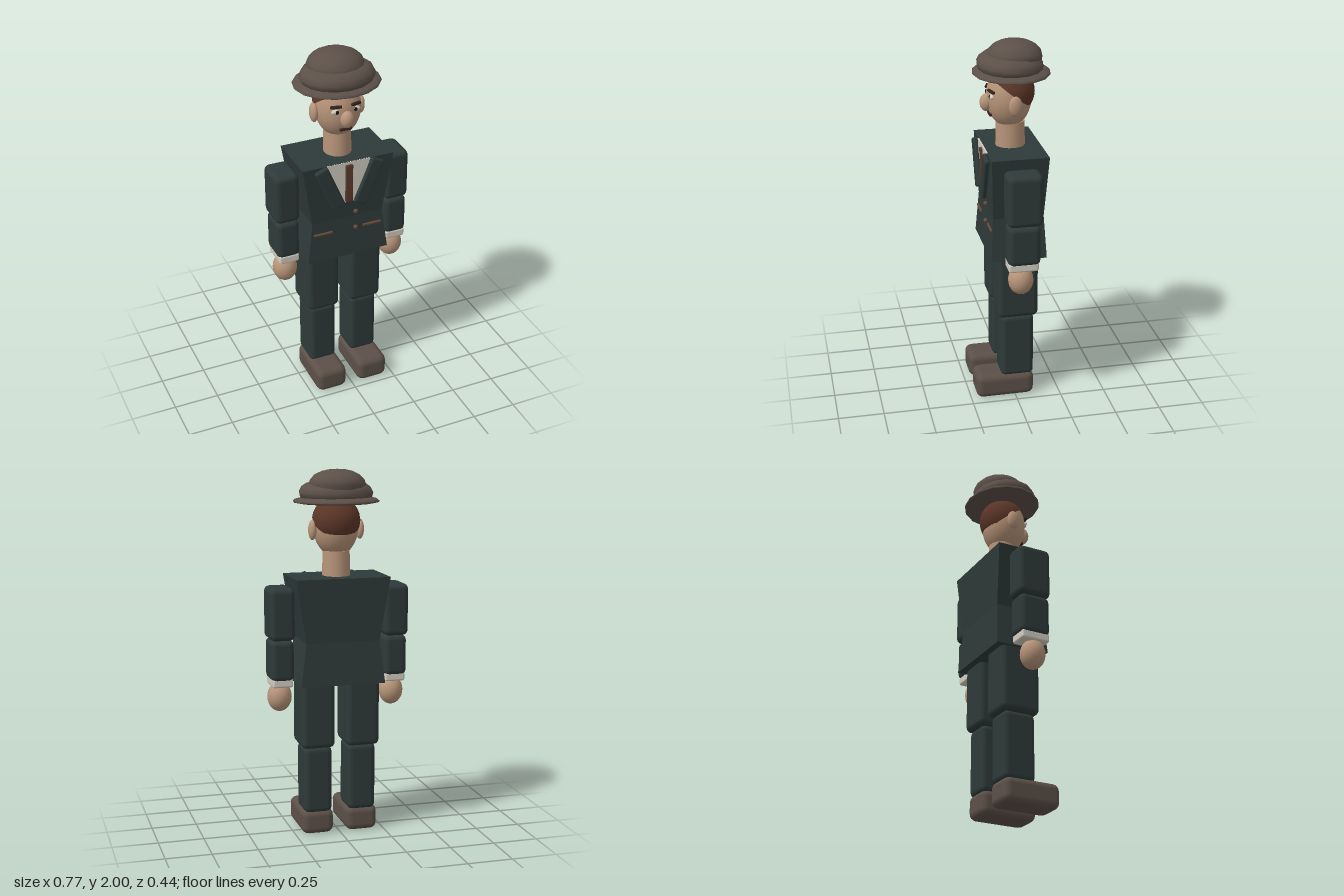
import * as THREE from 'three';
import { RoundedBoxGeometry } from 'three/addons/geometries/RoundedBoxGeometry.js';

const material = (name, color) => {
  const m = new THREE.MeshStandardMaterial({ color });
  m.name = name;
  return m;
};

export function createModel() {
  const suit = material('dark green suit', 0x2e3a39);
  const felt = material('brown felt and leather', 0x5c5048);
  const skin = material('skin', 0xb8957a);
  const hairBrown = material('hair brown', 0x5c3627);
  const linen = material('off white linen', 0xd2cdc0);
  const tieBrown = material('tie brown', 0x5a3a2e);
  const trim = material('pocket trim', 0x6b4a3a);
  const browBrown = material('dark brown', 0x35221b);
  const black = material('pupil black', 0x161616);

  const model = new THREE.Group();
  model.name = 'figure';

  const add = (name, geometry, mat, x, y, z) => {
    const mesh = new THREE.Mesh(geometry, mat);
    mesh.name = name;
    mesh.position.set(x, y, z);
    model.add(mesh);
    return mesh;
  };
  // Bevelled block given by its size and centre
  const block = (name, mat, w, h, d, x, y, z, r = 0.03) =>
    add(name, new RoundedBoxGeometry(w, h, d, 2, r), mat, x, y, z);
  const ellipsoid = (name, mat, rx, ry, rz, x, y, z, n = 20) => {
    const g = new THREE.SphereGeometry(1, n, Math.round(n * 0.7));
    g.scale(rx, ry, rz);
    return add(name, g, mat, x, y, z);
  };

  // Jacket body: a box pinched at the waist
  const torso = new THREE.BoxGeometry(2, 2, 2, 1, 2, 1);
  const rows = {
    1: [0.26, 1.43, 0.14, -0.167],
    0: [0.204, 1.085, 0.125, -0.15],
    '-1': [0.234, 0.85, 0.14, -0.163],
  };
  const p = torso.attributes.position;
  for (let i = 0; i < p.count; i++) {
    const [hw, y, front, back] = rows[Math.round(p.getY(i))];
    p.setXYZ(i, p.getX(i) * hw, y, p.getZ(i) > 0 ? front : back);
  }
  const jacket = torso.toNonIndexed();
  jacket.computeVertexNormals();
  add('jacket', jacket, suit, 0, 0, 0);

  // Shirt front, tie and buttons
  const vShape = new THREE.Shape();
  vShape.moveTo(-0.125, 1.43);
  vShape.lineTo(-0.035, 1.19);
  vShape.lineTo(0.035, 1.19);
  vShape.lineTo(0.125, 1.43);
  add('shirtFront', new THREE.ExtrudeGeometry(vShape, { depth: 0.008, bevelEnabled: false }), linen, 0, 0, 0.135);
  block('tie', tieBrown, 0.042, 0.222, 0.016, 0, 1.306, 0.147, 0.005);
  for (const y of [1.115, 1.015]) ellipsoid('button', trim, 0.013, 0.013, 0.012, 0.045, y, 0.135, 12);

  for (const s of [-1, 1]) {
    // Lapels and pockets
    const lapel = block('lapel', suit, 0.078, 0.27, 0.028, s * 0.112, 1.298, 0.152, 0.012);
    lapel.rotation.z = -s * 0.4;
    block('pocketTrim', trim, 0.108, 0.014, 0.016, s * 0.143, 1.014, 0.13, 0.004);

    // Arms
    block('upperArm', suit, 0.137, 0.285, 0.19, s * 0.318, 1.237, -0.015);
    block('forearm', suit, 0.127, 0.225, 0.175, s * 0.317, 0.984, -0.012);
    block('cuff', linen, 0.113, 0.05, 0.162, s * 0.316, 0.863, -0.008, 0.012);
    ellipsoid('hand', skin, 0.067, 0.082, 0.068, s * 0.318, 0.775, -0.001);

    // Legs and shoes
    block('thigh', suit, 0.186, 0.39, 0.225, s * 0.126, 0.688, -0.012);
    block('calf', suit, 0.157, 0.375, 0.185, s * 0.124, 0.31, -0.012);
    block('shoe', felt, 0.178, 0.138, 0.325, s * 0.125, 0.069, 0.0575, 0.038);
  }

  // Neck and head
  const neck = add('neck', new THREE.CylinderGeometry(0.073, 0.076, 0.16, 20), skin, 0, 1.485, -0.01);
  neck.scale.z = 1.06;
  ellipsoid('head', skin, 0.124, 0.167, 0.121, 0, 1.697, -0.003, 28);
  ellipsoid('nose', skin, 0.037, 0.048, 0.036, 0, 1.67, 0.118);
  const cap = new THREE.SphereGeometry(0.13, 28, 12, 0, Math.PI * 2, 0, Math.PI / 2);
  const hair = add('hair', cap, hairBrown, 0, 1.725, -0.01);
  hair.rotation.x = -0.66;
  hair.material.side = THREE.DoubleSide;

  // Face
  block('mouth', browBrown, 0.07, 0.016, 0.016, 0, 1.606, 0.1, 0.006);
  for (const s of [-1, 1]) {
    ellipsoid('ear', skin, 0.022, 0.055, 0.036, s * 0.132, 1.677, -0.012, 16);
    ellipsoid('eye', linen, 0.026, 0.014, 0.012, s * 0.056, 1.714, 0.1, 14);
    ellipsoid('pupil', black, 0.01, 0.011, 0.006, s * 0.052, 1.714, 0.109, 10);
    const brow = block('eyebrow', browBrown, 0.062, 0.015, 0.018, s * 0.056, 1.743, 0.103, 0.006);
    brow.rotation.set(0, s * 0.3, -s * 0.06);
  }

  // Hat: flat brim, swollen lower crown and a dome set slightly back
  const lathe = (name, points, x, y, z, depth) => {
    const g = new THREE.LatheGeometry(points.map(([r, h]) => new THREE.Vector2(r, h)), 16);
    const mesh = add(name, g, felt, x, y, z);
    mesh.scale.z = depth;
    return mesh;
  };
  lathe('hatBrim', [[0, -0.012], [0.2, -0.012], [0.232, -0.006], [0.237, 0], [0.226, 0.01], [0.18, 0.022], [0, 0.022]],
    0, 1.83, -0.015, 0.875);
  const crown = lathe('hatCrown', [[0.18, -0.042], [0.198, -0.022], [0.203, 0], [0.19, 0.026], [0.162, 0.045], [0.1, 0.055], [0, 0.058]],
    0, 1.878, -0.008, 0.87);
  crown.rotation.x = -0.03;
  lathe('hatDome', [[0.145, -0.04], [0.155, 0], [0.147, 0.026], [0.122, 0.052], [0.085, 0.07], [0.045, 0.079], [0, 0.082]],
    0, 1.918, -0.033, 0.95);
  block('hatBow', felt, 0.04, 0.026, 0.02, 0, 1.87, -0.172, 0.006);

  return model;
}
